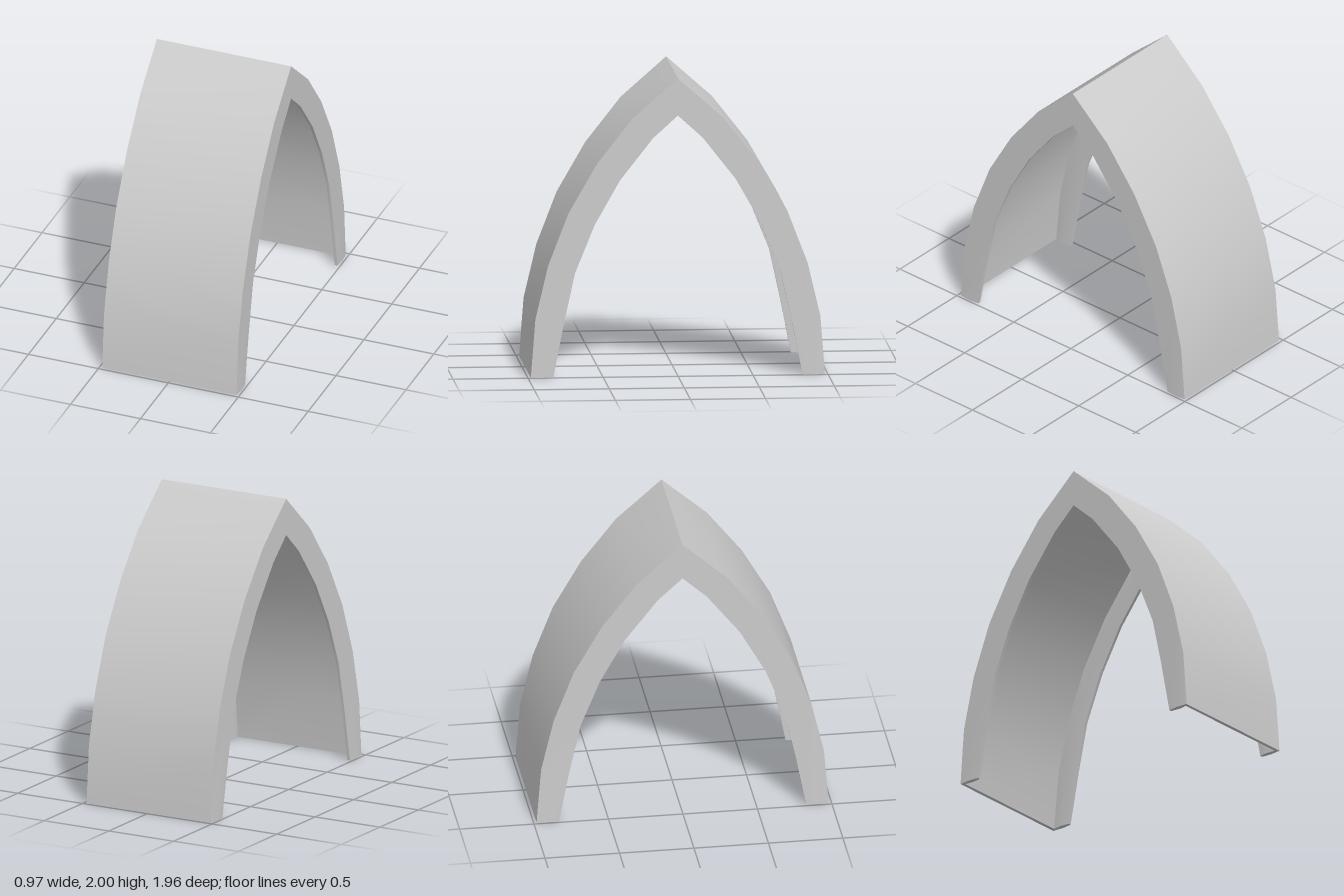
import * as THREE from 'three';
import { toCreasedNormals } from 'three/addons/utils/BufferGeometryUtils.js';

// Half profiles of the pointed arch as [z, y], from the foot to the apex
const OUTER = [[0.98, 0], [0.95, 0.39], [0.865, 0.75], [0.73, 1.1], [0.54, 1.43], [0.305, 1.73], [0, 2]];
const INNER = [[0.83, 0], [0.76, 0.36], [0.685, 0.7], [0.555, 1.02], [0.385, 1.32], [0.165, 1.6], [0, 1.75]];

// Front leg up to the apex, then mirrored down the back leg
const mirror = (half) => [...half, ...half.slice(0, -1).reverse().map(([z, y]) => [-z, y])];

// U-shaped channel section as [x, depth]: a thin skin with a flange on each side
function channel(bow) {
  const right = [[0.48, 0], [0.48 + bow, 0.5], [0.48, 1], [0.46, 1], [0.452, 0.55], [0.46, 0.16]];
  const left = right.slice(1).reverse().map(([x, d]) => [-x, d]);
  return [[-0.48, 0], ...right, ...left];
}

function archGeometry() {
  const outer = mirror(OUTER), inner = mirror(INNER);
  const last = outer.length - 1;
  const positions = [], index = [];
  let n = 0;
  outer.forEach(([oz, oy], s) => {
    // the flanges swell slightly at the feet
    const ring = channel(s === 0 || s === last ? 0.007 : 0);
    n = ring.length;
    const [iz, iy] = inner[s];
    for (const [x, d] of ring) positions.push(x, oy + (iy - oy) * d, oz + (iz - oz) * d);
  });
  const quad = (a, b, c, d) => index.push(a, b, c, a, c, d);

  // Walls between neighbouring sections
  for (let s = 0; s < last; s++) {
    for (let j = 0; j < n; j++) {
      const a = s * n + j, b = s * n + ((j + 1) % n);
      quad(a, b, b + n, a + n);
    }
  }
  // Feet: skin edge and both flange edges
  for (const [a, b, c, d] of [[0, 1, 6, 7], [1, 2, 5, 6], [2, 3, 4, 5], [0, 7, 8, 11], [11, 8, 9, 10]]) {
    quad(d, c, b, a);
    const e = last * n;
    quad(e + a, e + b, e + c, e + d);
  }

  const geometry = new THREE.BufferGeometry();
  geometry.setAttribute('position', new THREE.Float32BufferAttribute(positions, 3));
  geometry.setIndex(index);
  return toCreasedNormals(geometry, 0.6);
}

export function createModel() {
  const group = new THREE.Group();
  group.name = 'pointedArch';
  const material = new THREE.MeshStandardMaterial({ color: 0xcccccc });
  const shell = new THREE.Mesh(archGeometry(), material);
  shell.name = 'flangedArchShell';
  group.add(shell);
  return group;
}
